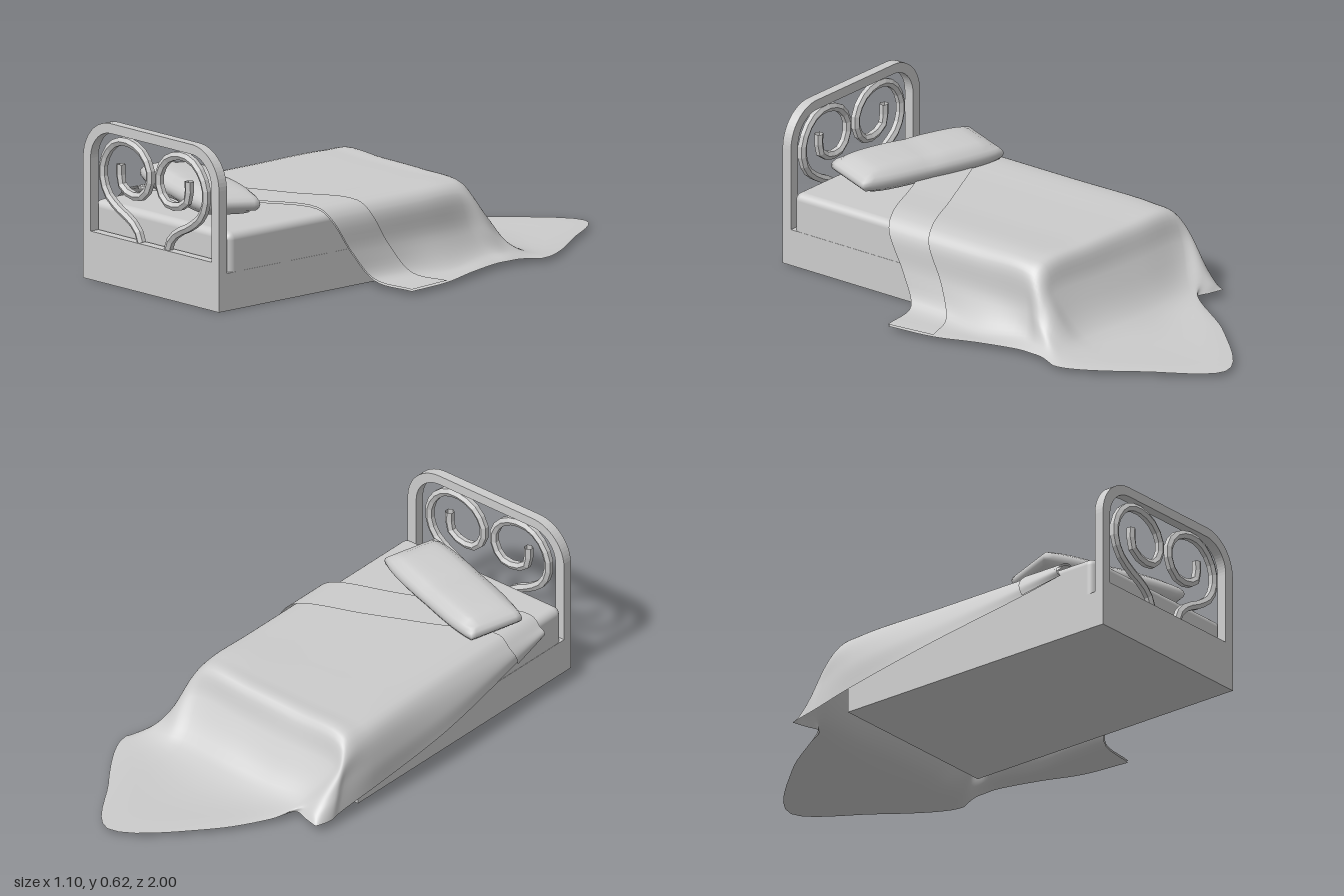
import * as THREE from 'three';
import { mergeVertices } from 'three/addons/utils/BufferGeometryUtils.js';
import { RoundedBoxGeometry } from 'three/addons/geometries/RoundedBoxGeometry.js';

const CX = -0.105; // centre line of the bed
const mat = new THREE.MeshStandardMaterial({ color: 0xcccccc });
const flatMat = new THREE.MeshStandardMaterial({ color: 0xcccccc, flatShading: true, side: THREE.DoubleSide });
const clothMat = new THREE.MeshStandardMaterial({ color: 0xcccccc, side: THREE.DoubleSide });

function add(parent, name, geo, material, x = 0, y = 0, z = 0) {
  const m = new THREE.Mesh(geo, material);
  m.name = name;
  m.position.set(x, y, z);
  parent.add(m);
  return m;
}

// Arch outline with rounded upper corners
function arch(target, half, bottom, top, r) {
  target.moveTo(-half, bottom);
  target.lineTo(half, bottom);
  target.lineTo(half, top - r);
  target.absarc(half - r, top - r, r, 0, Math.PI / 2);
  target.lineTo(-half + r, top);
  target.absarc(-half + r, top - r, r, Math.PI / 2, Math.PI);
  target.closePath();
  return target;
}

// Smooth sheet through rows of control points, optionally lifted along its normals
function sheet(rows, steps, lift = 0) {
  const v = (p) => new THREE.Vector3(...p);
  const nc = (rows[0].length - 1) * steps, nr = (rows.length - 1) * steps;
  const across = rows.map((r) => new THREE.CatmullRomCurve3(r.map(v)).getPoints(nc));
  const pos = [], idx = [];
  for (let c = 0; c <= nc; c++) {
    const col = new THREE.CatmullRomCurve3(across.map((r) => r[c])).getPoints(nr);
    for (const p of col) pos.push(p.x, p.y, p.z);
  }
  const at = (r, c) => c * (nr + 1) + r;
  for (let c = 0; c < nc; c++) for (let r = 0; r < nr; r++) {
    const a = at(r, c), b = at(r, c + 1), d = at(r + 1, c), e = at(r + 1, c + 1);
    idx.push(a, b, d, b, e, d);
  }
  const g = new THREE.BufferGeometry();
  g.setAttribute('position', new THREE.Float32BufferAttribute(pos, 3));
  g.setIndex(idx);
  g.computeVertexNormals();
  const P = g.attributes.position, N = g.attributes.normal;
  for (let i = 0; lift && i < P.count; i++) {
    P.setXYZ(i, P.getX(i) + N.getX(i) * lift, P.getY(i) + N.getY(i) * lift, P.getZ(i) + N.getZ(i) * lift);
  }
  return g;
}

// One cross-section of blanket over the mattress: left hem, over the top, down to the floor
function overRow(zl, zr, hemL, floor, hemR) {
  const z = (t) => THREE.MathUtils.lerp(zl, zr, t);
  const s = (t) => THREE.MathUtils.lerp(zr, floor[2], t);
  return [
    hemL,
    [(hemL[0] - 0.53) / 2, (hemL[1] + 0.28) / 2, (hemL[2] + zl) / 2],
    [-0.505, 0.28, zl], [-0.46, 0.315, zl],
    [-0.22, 0.317, z(0.333)], [0.02, 0.317, z(0.667)],
    [0.26, 0.315, zr], [0.305, 0.275, s(0.15)], [0.325, 0.14, s(0.6)],
    floor, hemR,
  ];
}

// Soft cushion: a box thinned towards its rim
function pillowGeometry(w, h, d) {
  let g = new THREE.BoxGeometry(w, h, d, 16, 4, 10);
  g.deleteAttribute('uv');
  g.deleteAttribute('normal');
  g = mergeVertices(g);
  const p = g.attributes.position;
  for (let i = 0; i < p.count; i++) {
    const u = (2 * p.getX(i)) / w, q = (2 * p.getZ(i)) / d, e = (2 * p.getY(i)) / h;
    const puff = 0.5 + 0.5 * Math.sqrt(Math.max(0, (1 - u ** 6) * (1 - q ** 4)));
    const crease = 1 - 0.08 * Math.exp(-((u * 8) ** 2));
    p.setXYZ(i, p.getX(i) * (1 - 0.06 * e * e), p.getY(i) * puff * crease,
      p.getZ(i) * (1 - 0.14 * u ** 4) * (1 - 0.08 * e * e));
  }
  g.computeVertexNormals();
  return g;
}

export function createModel() {
  const bed = new THREE.Group();
  bed.name = 'bed';

  // Base and mattress
  add(bed, 'base', new THREE.BoxGeometry(0.77, 0.145, 1.2), mat, CX, 0.0725, 0.36);
  add(bed, 'mattress', new RoundedBoxGeometry(0.768, 0.2, 1.186, 4, 0.03), mat, CX, 0.197, 0.357);

  // Headboard frame
  const frame = arch(new THREE.Shape(), 0.385, 0, 0.622, 0.155);
  frame.holes.push(arch(new THREE.Path(), 0.343, 0.187, 0.584, 0.115));
  add(bed, 'headboard', new THREE.ExtrudeGeometry(frame, { depth: 0.04, bevelEnabled: false, curveSegments: 8 }), mat, CX, 0, 0.96);

  // Pair of mirrored scrolls, as offsets from the centre line
  const scroll = [[0.075, 0.185], [0.092, 0.225], [0.13, 0.26], [0.21, 0.3], [0.27, 0.35],
    [0.294, 0.43], [0.268, 0.505], [0.21, 0.553], [0.135, 0.56], [0.065, 0.53], [0.026, 0.47],
    [0.032, 0.41], [0.07, 0.366], [0.135, 0.362], [0.185, 0.39], [0.194, 0.425], [0.194, 0.47]];
  for (const side of [1, -1]) {
    const path = new THREE.CatmullRomCurve3(scroll.map(([x, y]) => new THREE.Vector3(side * x, y, 0)));
    add(bed, side > 0 ? 'leftScroll' : 'rightScroll', new THREE.TubeGeometry(path, 26, 0.018, 6), flatMat, CX, 0, 0.98);
  }

  // Pillow lying askew
  const pillow = add(bed, 'pillow', pillowGeometry(0.63, 0.105, 0.26), mat, -0.16, 0.358, 0.705);
  pillow.rotation.set(-0.06, -0.32, 0, 'YXZ');

  // Blanket: over the mattress, then down the foot and spread on the floor
  const over = [
    overRow(0.8, 0.487, [-0.51, 0.25, 0.81], [0.37, 0.03, 0.3], [0.55, 0.015, 0.27]),
    overRow(0.615, 0.29, [-0.525, 0.21, 0.64], [0.38, 0.03, 0.12], [0.525, 0.015, 0.07]),
    overRow(0.2, 0.05, [-0.55, 0.13, 0.2], [0.4, 0.03, -0.06], [0.475, 0.02, -0.1]),
    overRow(-0.18, -0.17, [-0.535, 0.07, -0.2], [0.37, 0.05, -0.25], [0.43, 0.02, -0.27]),
  ];
  const foot = [
    [[-0.52, 0.04, -0.38], [-0.51, 0.15, -0.34], [-0.5, 0.25, -0.31], [-0.45, 0.305, -0.29], [-0.22, 0.31, -0.275], [0.02, 0.31, -0.265],
      [0.25, 0.3, -0.25], [0.31, 0.25, -0.25], [0.35, 0.14, -0.28], [0.39, 0.05, -0.32], [0.43, 0.02, -0.32]],
    [[-0.52, 0.03, -0.43], [-0.51, 0.11, -0.4], [-0.49, 0.18, -0.37], [-0.45, 0.2, -0.34], [-0.22, 0.2, -0.33], [0.02, 0.2, -0.315],
      [0.25, 0.2, -0.3], [0.31, 0.17, -0.32], [0.36, 0.1, -0.34], [0.4, 0.05, -0.37], [0.435, 0.02, -0.38]],
    [[-0.505, 0.03, -0.49], [-0.47, 0.06, -0.47], [-0.43, 0.07, -0.45], [-0.37, 0.06, -0.44], [-0.2, 0.045, -0.45], [0.02, 0.045, -0.45],
      [0.23, 0.045, -0.43], [0.3, 0.045, -0.43], [0.37, 0.04, -0.43], [0.42, 0.03, -0.44], [0.46, 0.015, -0.45]],
    [[-0.5, 0.03, -0.5], [-0.44, 0.03, -0.485], [-0.38, 0.03, -0.47], [-0.33, 0.02, -0.56], [-0.2, 0.015, -0.75], [0.1, 0.015, -1],
      [0.3, 0.015, -0.76], [0.4, 0.015, -0.62], [0.44, 0.015, -0.55], [0.46, 0.015, -0.5], [0.465, 0.015, -0.46]],
  ];
  add(bed, 'blanket', sheet([...over, ...foot], 6), clothMat);

  // Turned-back band along the head edge
  add(bed, 'foldedBand', sheet(over.slice(0, 2), 6, 0.008), clothMat);
  return bed;
}
